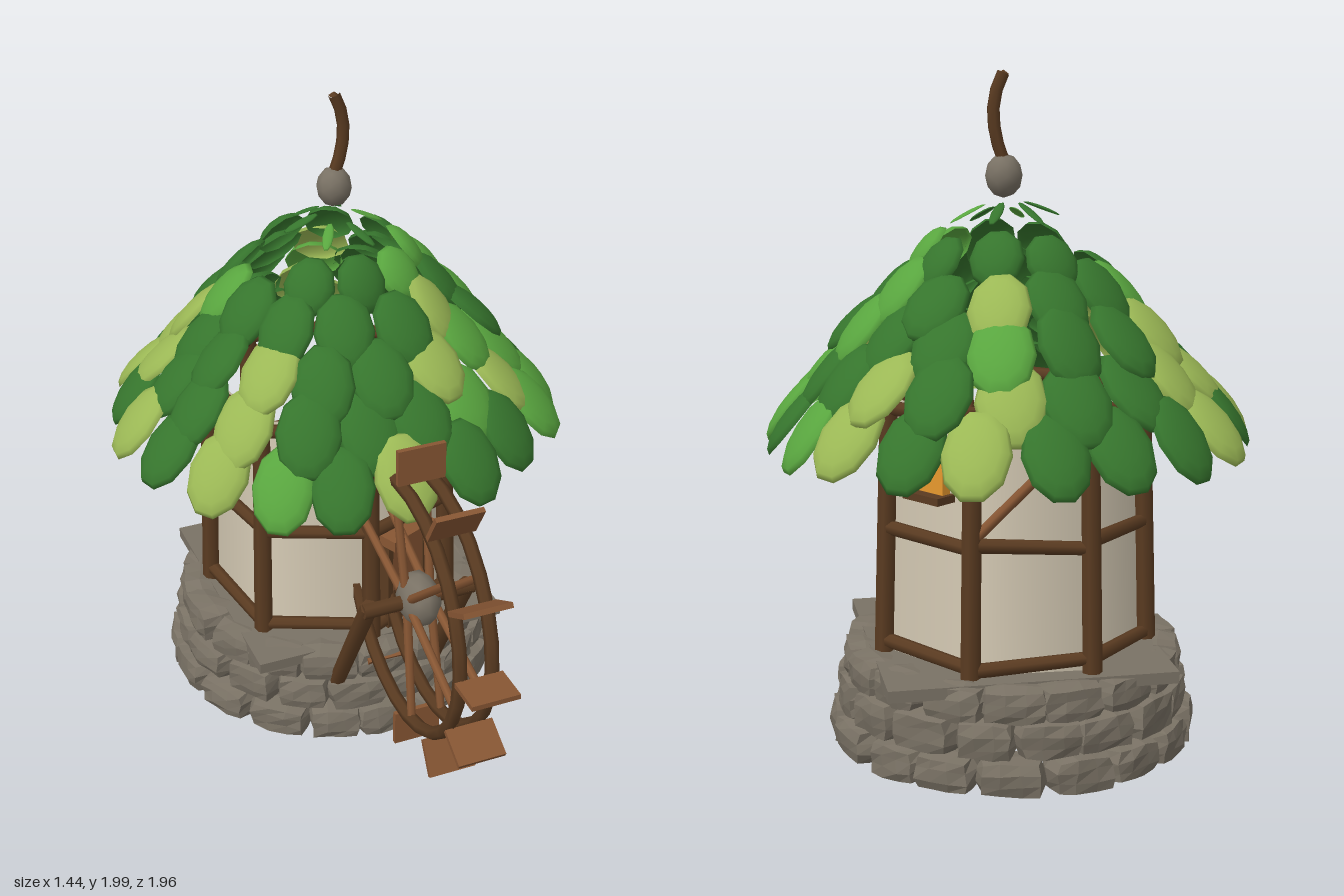
import * as THREE from 'three';

const mat = (name, color, side = THREE.FrontSide) => {
  const m = new THREE.MeshStandardMaterial({ color, side });
  m.name = name;
  return m;
};
const V = (x, y, z) => new THREE.Vector3(x, y, z);

export function createModel() {
  const stone = mat('stone', 0x7a7265);
  const darkWood = mat('dark wood', 0x5a3b21);
  const lightWood = mat('light wood', 0x875633);
  const plaster = mat('plaster', 0xd6cbb5);
  const glow = mat('window glow', 0xe8992e);
  const greens = {
    d: mat('dark leaf', 0x36752d, THREE.DoubleSide),
    m: mat('mid leaf', 0x59a63f, THREE.DoubleSide),
    p: mat('pale leaf', 0x9bb855, THREE.DoubleSide),
  };

  let seed = 7;
  const rand = () => (seed = (seed * 16807) % 2147483647) / 2147483647;
  const jit = (s) => (rand() - 0.5) * 2 * s;

  const root = new THREE.Group();
  root.name = 'millHut';
  const group = (name, parent = root) => {
    const g = new THREE.Group();
    g.name = name;
    parent.add(g);
    return g;
  };
  const add = (parent, name, geo, material, x = 0, y = 0, z = 0) => {
    const m = new THREE.Mesh(geo, material);
    m.name = name;
    m.position.set(x, y, z);
    parent.add(m);
    return m;
  };
  // round timber between two points
  const beam = (parent, name, a, b, r, material = darkWood) => {
    const d = b.clone().sub(a);
    const m = add(parent, name, new THREE.CylinderGeometry(r * 0.92, r, d.length(), 7), material);
    m.position.copy(a).addScaledVector(d, 0.5);
    m.quaternion.setFromUnitVectors(V(0, 1, 0), d.normalize());
    return m;
  };
  // chipped block: box vertices pulled inward at the corners, then roughened
  const rock = (w, h, d) => {
    const g = new THREE.BoxGeometry(1, 1, 1, 3, 3, 2);
    const p = g.attributes.position;
    const moved = {};
    for (let i = 0; i < p.count; i++) {
      const v = V().fromBufferAttribute(p, i);
      const key = v.toArray().map((n) => n.toFixed(2)).join();
      if (!moved[key]) {
        const round = v.clone().normalize().multiplyScalar(0.58);
        moved[key] = v.clone().lerp(round, 0.5).add(V(jit(0.03), jit(0.04), jit(0.05)));
      }
      p.setXYZ(i, moved[key].x * w, moved[key].y * h, moved[key].z * d);
    }
    const flat = g.toNonIndexed();
    flat.computeVertexNormals();
    return flat;
  };

  const tower = group('tower');
  tower.position.z = -0.26;

  // stone footing: three courses and a square slab
  const footing = group('stoneFooting', tower);
  footing.position.x = -0.015;
  [[0.483, 0.068], [0.462, 0.17], [0.442, 0.262]].forEach(([r, y], row) => {
    const n = 17;
    for (let i = 0; i < n; i++) {
      const a = ((i + row * 0.5) / n) * Math.PI * 2 + jit(0.03);
      const s = add(footing, 'stoneBlock', rock(0.18 + jit(0.015), 0.108 + jit(0.008), 0.125), stone,
        Math.sin(a) * r, y, Math.cos(a) * r);
      s.rotation.y = a;
    }
  });
  add(tower, 'floorSlab', new THREE.BoxGeometry(0.84, 0.035, 0.84), stone, 0, 0.298, 0);

  // seven-sided plaster wall in a timber frame
  const body = group('body', tower);
  body.position.x = -0.015;
  const SIDES = 7;
  const STEP = (Math.PI * 2) / SIDES;
  const A0 = -0.045;
  const corner = (i, y, r = 0.405 - (y - 0.3) * 0.03) => V(Math.sin(A0 + i * STEP) * r, y, Math.cos(A0 + i * STEP) * r);
  add(body, 'plasterWall', new THREE.CylinderGeometry(0.365, 0.388, 0.76, SIDES, 1, true, A0), plaster, 0, 0.69, 0);
  const frame = group('timberFrame', body);
  for (let i = 0; i < SIDES; i++) {
    beam(frame, 'post', corner(i, 0.31), corner(i, 1.09), 0.03);
    for (const y of [0.345, 0.69, 1.05]) {
      const lift = jit(0.012);
      beam(frame, 'rail', corner(i, y + lift), corner(i + 1, y - lift), 0.022);
    }
  }
  beam(frame, 'brace', corner(6, 0.71), corner(6, 1.03).lerp(corner(7, 1.03), 0.85), 0.016, lightWood);
  beam(frame, 'brace', corner(3, 0.71), corner(4, 1.03), 0.016, lightWood);

  // fittings placed on one wall face, built facing +z
  const onFace = (name, i, r, shift) => {
    const pivot = group(name, body);
    const a = A0 + (i + 0.5) * STEP;
    pivot.position.set(Math.sin(a) * r + Math.cos(a) * shift, 0, Math.cos(a) * r - Math.sin(a) * shift);
    pivot.rotation.y = a;
    return pivot;
  };
  const door = onFace('door', 0, 0.36, -0.03);
  add(door, 'doorPanel', new THREE.BoxGeometry(0.15, 0.33, 0.04), lightWood, 0, 0.49, 0);
  for (const s of [-1, 1]) add(door, 'doorJamb', new THREE.BoxGeometry(0.02, 0.34, 0.05), darkWood, s * 0.08, 0.49, 0);
  add(door, 'doorLintel', new THREE.BoxGeometry(0.19, 0.035, 0.09), lightWood, 0, 0.65, 0.01);
  const windowGroup = onFace('window', 2, 0.37, 0.035);
  add(windowGroup, 'windowPane', new THREE.BoxGeometry(0.11, 0.13, 0.03), glow, 0, 0.895, 0);
  add(windowGroup, 'windowSill', new THREE.BoxGeometry(0.14, 0.022, 0.07), darkWood, 0, 0.825, 0.015);

  // leaf roof: overlapping rows of cupped leaves [radius, height, tilt, length, width, colours]
  // one letter per leaf, turning from the front towards the left; a dash leaves a gap
  const roof = group('leafRoof', tower);
  const leaf = new THREE.SphereGeometry(1, 10, 4, 0, Math.PI * 2, 0, Math.PI / 2);
  const rows = [
    [0.625, 1.02, 0.87, 0.28, 0.195, 'pddmmdmpdpdddpdpdpmd'],
    [0.525, 1.14, 0.83, 0.28, 0.2, 'dmpmddpdpddppddpdd'],
    [0.43, 1.26, 0.82, 0.27, 0.195, 'dpmdmddmddpddpd'],
    [0.33, 1.37, 0.82, 0.25, 0.185, 'dpdmdpddmddd'],
    [0.23, 1.47, 0.95, 0.19, 0.16, 'dmmddd--d'],
    [0.11, 1.59, 0.45, 0.12, 0.035, 'dmdddm'],
  ];
  rows.forEach(([r, y, tilt, len, wid, colours], row) => {
    [...colours].forEach((c, i) => {
      if (c === '-') return;
      const a = ((i + (row % 2) * 0.5) / colours.length) * Math.PI * 2 + jit(0.03);
      const rr = r + jit(0.015);
      const m = add(roof, 'leaf', leaf, greens[c], Math.sin(a) * rr, y + jit(0.015), Math.cos(a) * rr);
      m.rotation.set(tilt + jit(0.1), a, jit(0.15), 'YXZ');
      m.scale.set(wid / 2, row === 5 ? 0.008 : 0.042, len / 2);
    });
  });

  // finial: stone knob and crooked twig
  const finial = group('finial', tower);
  const pebble = new THREE.IcosahedronGeometry(1, 1);
  add(finial, 'finialStone', pebble, stone, 0.012, 1.7, -0.01).scale.set(0.055, 0.064, 0.053);
  const twig = new THREE.CatmullRomCurve3([
    V(0.012, 1.74, -0.01), V(0.035, 1.81, -0.01), V(0.043, 1.89, -0.01), V(0.032, 1.95, -0.01), V(0.014, 1.992, -0.01),
  ]);
  add(finial, 'finialTwig', new THREE.TubeGeometry(twig, 5, 0.019, 6), darkWood);
  add(finial, 'twigTip', new THREE.ConeGeometry(0.017, 0.012, 6), darkWood, 0.014, 1.994, -0.01);

  // water wheel turning about the x axis
  const wheel = group('waterWheel');
  wheel.position.set(-0.01, 0.655, 0.45);
  const polar = (x, r, a) => V(x, Math.sin(a) * r, Math.cos(a) * r);
  for (const x of [-0.05, 0.05]) {
    add(wheel, 'wheelRim', new THREE.TorusGeometry(0.4, 0.021, 6, 26), darkWood, x).rotation.y = Math.PI / 2;
    for (let i = 0; i < 6; i++) {
      const a = (i * 60 + 41) * Math.PI / 180;
      beam(wheel, 'spoke', polar(x * 0.8, 0.05, a), polar(x, 0.4, a), 0.014, lightWood);
    }
  }
  for (let i = 0; i < 12; i++) {
    const a = (i * Math.PI) / 6;
    const p = polar(0, 0.475, a);
    add(wheel, 'paddle', new THREE.BoxGeometry(0.15, 0.016, 0.115), lightWood, p.x, p.y, p.z).rotation.x = -a;
  }
  add(wheel, 'hub', pebble, stone).scale.set(0.065, 0.088, 0.088);
  beam(wheel, 'axle', V(-0.18, 0, 0), V(0.18, 0, 0), 0.024);
  for (const s of [-1, 1]) beam(wheel, 'wheelStrut', V(s * 0.16, 0.01, 0), V(s * 0.165, -0.44, -0.25), 0.028);

  return root;
}
